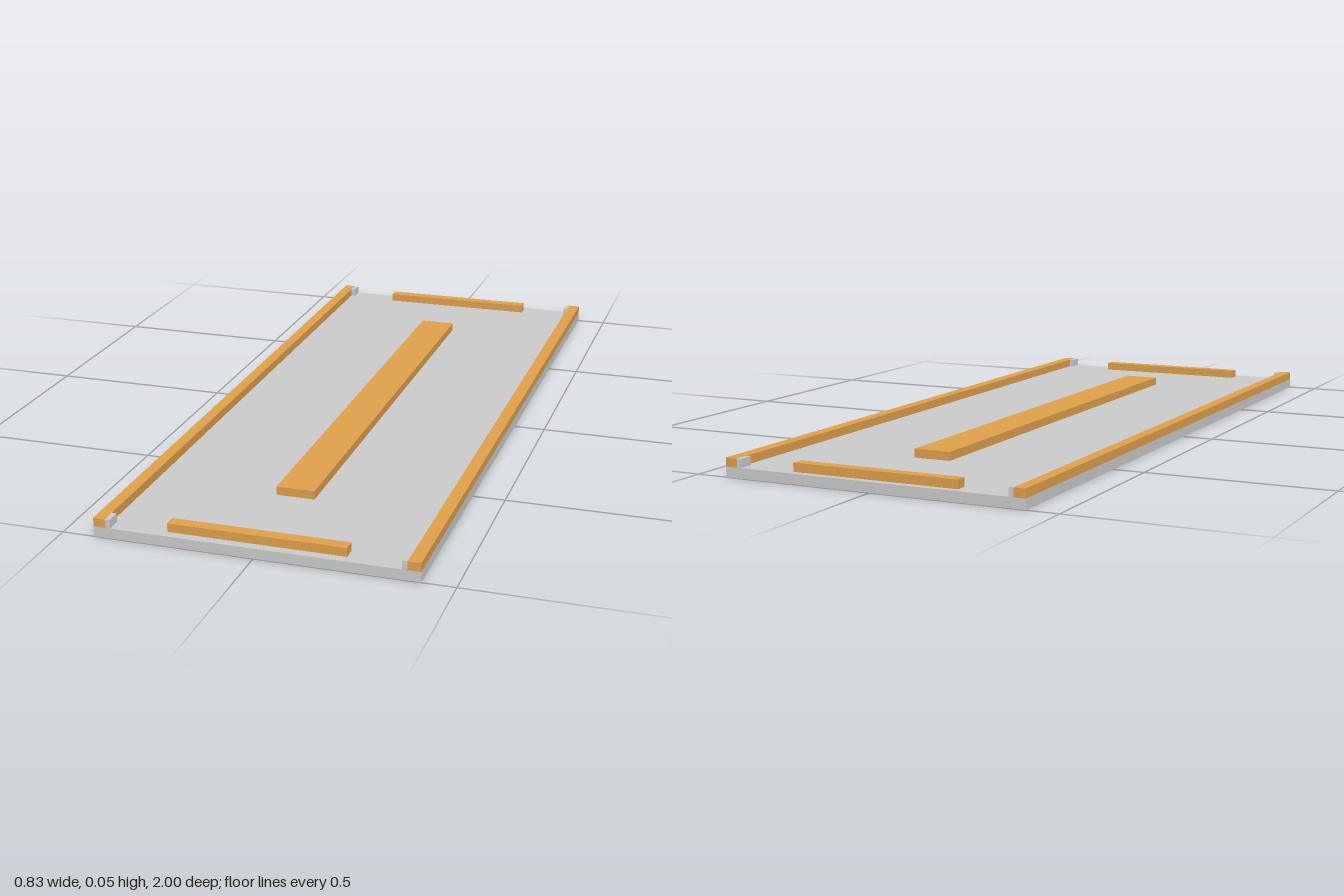
import * as THREE from 'three';

const GREY = new THREE.MeshStandardMaterial({ color: 0xcccccc, flatShading: true });
const WOOD = new THREE.MeshStandardMaterial({ color: 0xe0a04c, flatShading: true });

const BASE_TOP = 0.027;
const TOP = 0.05;

// Box given by its limits on each axis
function block(name, material, [x0, x1], [y0, y1], [z0, z1]) {
  const mesh = new THREE.Mesh(new THREE.BoxGeometry(x1 - x0, y1 - y0, z1 - z0), material);
  mesh.position.set((x0 + x1) / 2, (y0 + y1) / 2, (z0 + z1) / 2);
  mesh.name = name;
  return mesh;
}

export function createModel() {
  const group = new THREE.Group();
  group.name = 'panel';
  const raised = [BASE_TOP, TOP];

  // Flat base slab
  group.add(block('baseSlab', GREY, [-0.415, 0.415], [0, BASE_TOP], [-1, 1]));

  // Long edge rails
  group.add(block('rightRail', WOOD, [-0.415, -0.384], raised, [-1, 1]));
  group.add(block('leftRail', WOOD, [0.382, 0.415], raised, [-1, 1]));

  // Small corner stops against the inner faces of the rails
  for (const [end, z] of [['front', [0.96, 1]], ['back', [-1, -0.96]]]) {
    group.add(block(end + 'RightCornerStop', GREY, [-0.384, -0.371], raised, z));
    group.add(block(end + 'LeftCornerStop', GREY, [0.369, 0.382], raised, z));
  }

  // Short cross strips at the two ends
  group.add(block('frontStrip', WOOD, [-0.23, 0.228], raised, [0.944, 0.976]));
  group.add(block('backStrip', WOOD, [-0.23, 0.228], raised, [-0.981, -0.949]));

  // Long central bar
  group.add(block('centreBar', WOOD, [-0.052, 0.05], raised, [-0.70, 0.695]));

  return group;
}
